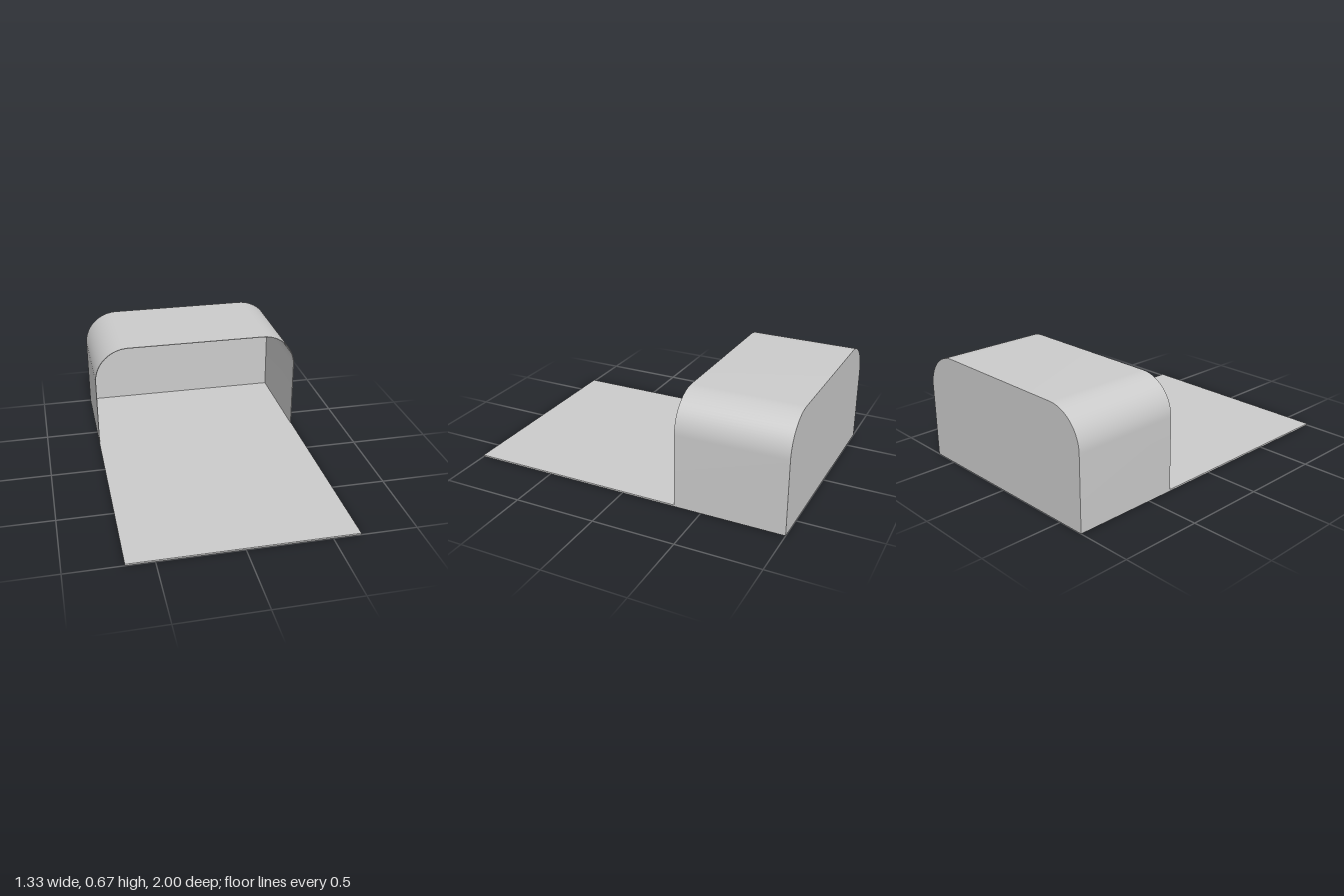
import * as THREE from 'three';
import { toCreasedNormals } from 'three/addons/utils/BufferGeometryUtils.js';

const HALF_W = 0.665, HEIGHT = 0.673, RADIUS = 0.22;
const FLOOR = 0.01, WALL = 0.004;
const BACK = -1, HOOD_FRONT = -0.335, FRONT = 1;

// Arch outline with rounded top corners, inset by d, from the right foot over to the left
function archPoints(d) {
  const r = RADIUS - d, cx = HALF_W - RADIUS, cy = HEIGHT - RADIUS;
  const points = [new THREE.Vector2(HALF_W - d, FLOOR)];
  for (const [x, start] of [[cx, 0], [-cx, Math.PI / 2]]) {
    for (let i = 0; i <= 20; i++) {
      const a = start + (i / 20) * Math.PI / 2;
      points.push(new THREE.Vector2(x + r * Math.cos(a), cy + r * Math.sin(a)));
    }
  }
  points.push(new THREE.Vector2(-HALF_W + d, FLOOR));
  return points;
}

function extrude(points, z0, z1) {
  const geometry = new THREE.ExtrudeGeometry(new THREE.Shape(points), { depth: z1 - z0, bevelEnabled: false });
  geometry.translate(0, 0, z0);
  return toCreasedNormals(geometry, Math.PI / 6);
}

export function createModel() {
  const group = new THREE.Group();
  const material = new THREE.MeshStandardMaterial({ color: 0xcccccc });
  const add = (name, geometry) => {
    const mesh = new THREE.Mesh(geometry, material);
    mesh.name = name;
    group.add(mesh);
  };

  // Thin base plate
  const floor = new THREE.BoxGeometry(2 * HALF_W, FLOOR, FRONT - BACK);
  floor.translate(0, FLOOR / 2, 0);
  add('floor', floor);

  // Side walls and roof as one thin curved shell, open to the front
  add('hood', extrude([...archPoints(0), ...archPoints(WALL).reverse()], BACK + WALL, HOOD_FRONT));

  // Panel closing the back of the hood
  add('backWall', extrude(archPoints(0), BACK, BACK + WALL));

  return group;
}
